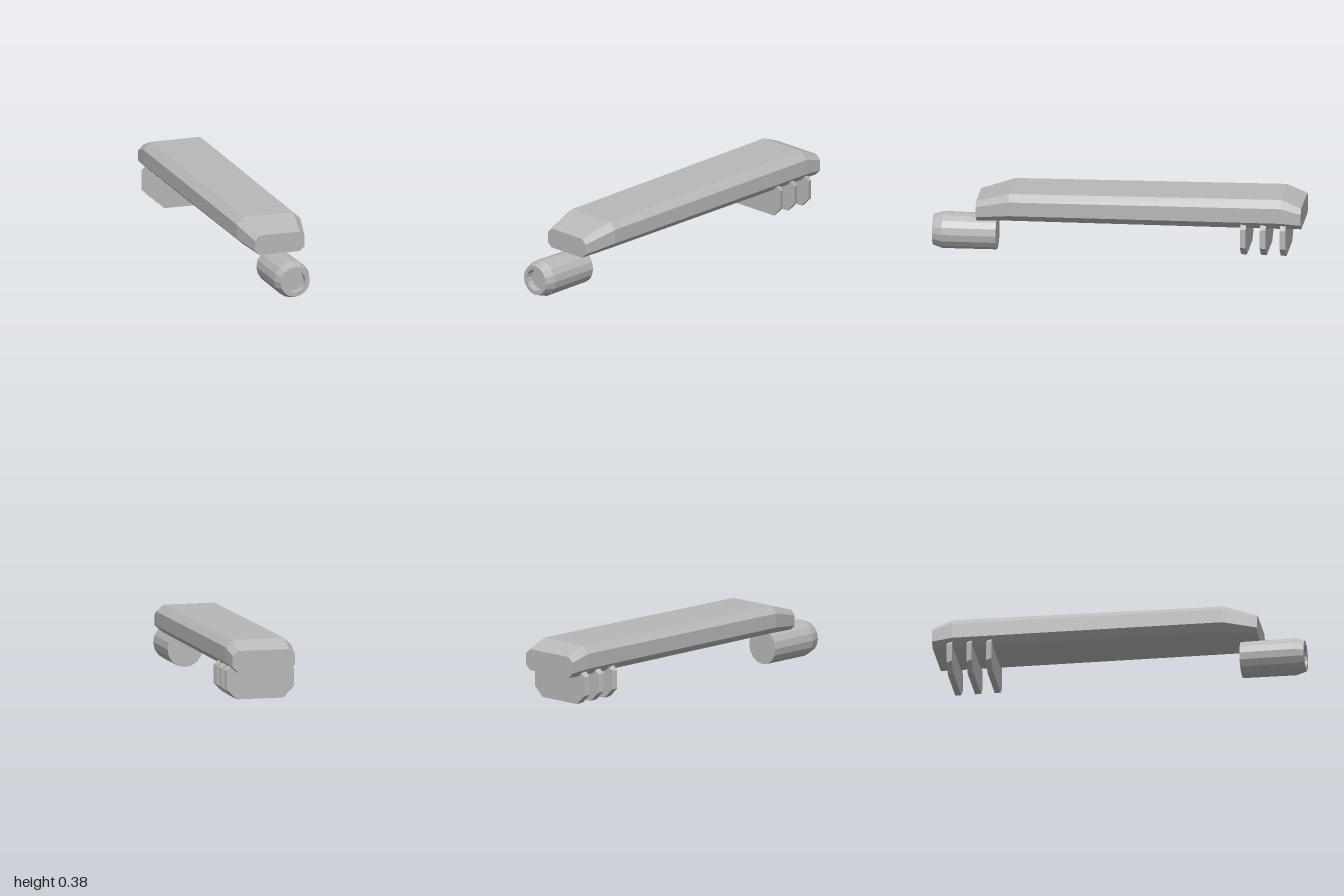
import * as THREE from 'three';

// Octagonal cross-section: half-widths (wide, flat) and four heights
function octagon([z, wide, flat, top, upper, lower, bottom]) {
  return [
    [flat, top], [-flat, top], [-wide, upper], [-wide, lower],
    [-flat, bottom], [flat, bottom], [wide, lower], [wide, upper],
  ].map(([x, y]) => new THREE.Vector3(x, y, z));
}

// Skin a row of cross-sections (front to back) with capped ends
function loft(sections) {
  const rings = sections.map(octagon);
  const pos = [];
  const tri = (...pts) => pts.forEach((p) => pos.push(p.x, p.y, p.z));
  const last = rings[rings.length - 1];
  for (let i = 1; i < 7; i++) {
    tri(rings[0][0], rings[0][i], rings[0][i + 1]);
    tri(last[0], last[i + 1], last[i]);
  }
  for (let r = 0; r < rings.length - 1; r++) {
    const a = rings[r], b = rings[r + 1];
    for (let i = 0; i < 8; i++) {
      const j = (i + 1) % 8;
      tri(a[i], b[i], b[j]);
      tri(a[i], b[j], a[j]);
    }
  }
  const g = new THREE.BufferGeometry();
  g.setAttribute('position', new THREE.Float32BufferAttribute(pos, 3));
  g.computeVertexNormals();
  return g;
}

export function createModel() {
  const group = new THREE.Group();
  const metal = new THREE.MeshStandardMaterial({ color: 0xb8b8b8, flatShading: true });
  metal.name = 'grey metal';

  const add = (name, geometry) => {
    const mesh = new THREE.Mesh(geometry, metal);
    mesh.name = name;
    group.add(mesh);
    return mesh;
  };

  // Long chamfered slide with tapered ends
  add('slide', loft([
    [0.757, 0.142, 0.115, 0.305, 0.278, 0.222, 0.197],
    [0.575, 0.182, 0.142, 0.36, 0.325, 0.248, 0.21],
    [-0.89, 0.182, 0.142, 0.382, 0.342, 0.26, 0.219],
    [-1, 0.172, 0.142, 0.337, 0.31, 0.25, 0.221],
  ]));

  // Three thin plates under the rear end
  for (let i = 0; i < 3; i++) {
    const z = -0.69 - i * 0.107;
    add('rearFin' + (i + 1), loft([
      [z + 0.015, 0.193, 0.142, 0.268, 0.22, 0.12, 0.07],
      [z - 0.015, 0.182, 0.128, 0.268, 0.22, 0.115, 0.063],
    ]));
  }

  // Barrel with chamfered muzzle and shallow bore, profile from rear to bore floor
  const profile = [
    [0, 0.655], [0.097, 0.655], [0.1, 0.947], [0.083, 1],
    [0.06, 1], [0.06, 0.96], [0, 0.96],
  ].map(([r, h]) => new THREE.Vector2(r, h));
  const barrel = add('barrel', new THREE.LatheGeometry(profile, 16));
  barrel.rotation.x = Math.PI / 2;
  barrel.position.y = 0.102;

  return group;
}
